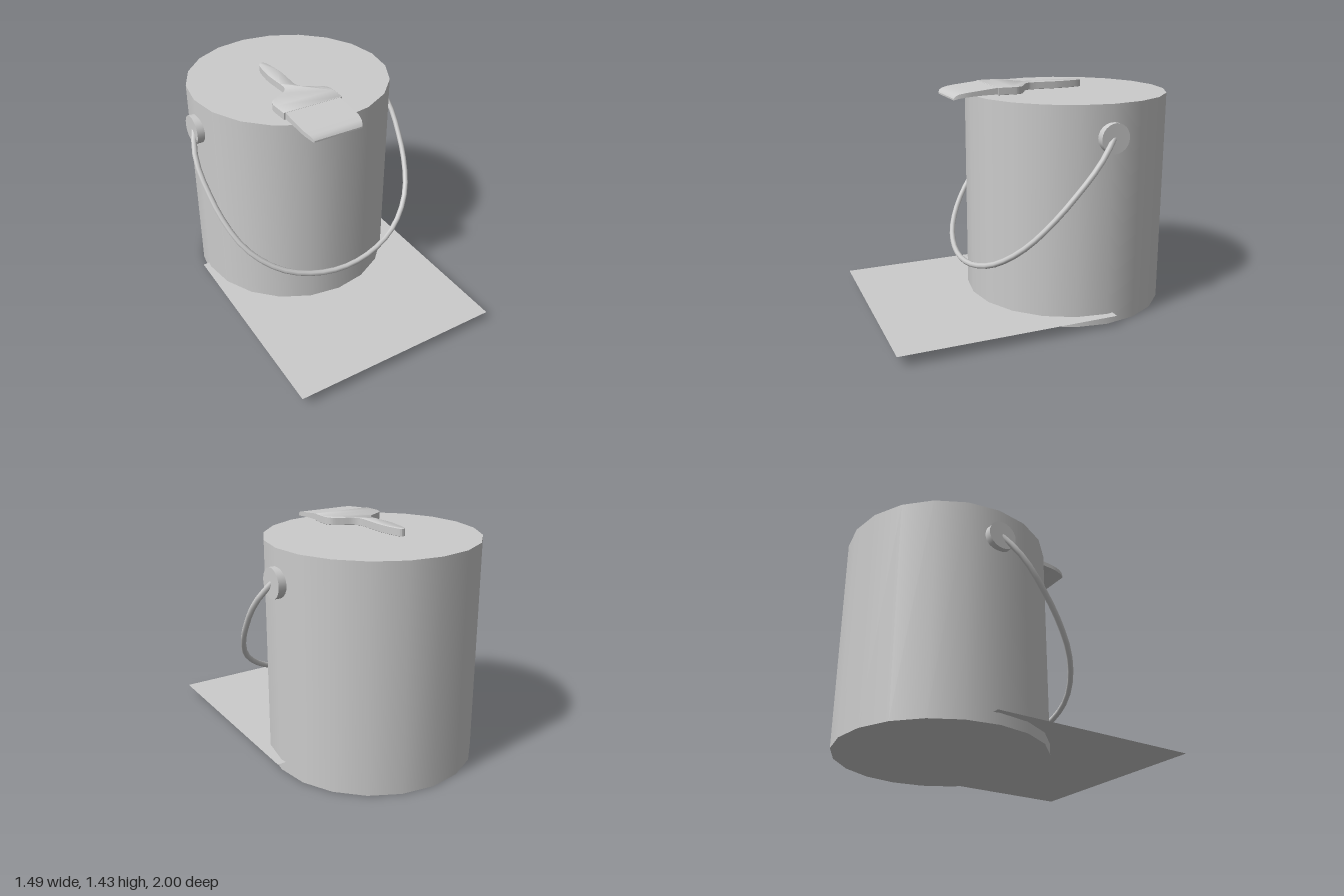
import * as THREE from 'three';
import { toCreasedNormals } from 'three/addons/utils/BufferGeometryUtils.js';

const CENTRE_X = 0.002, CAN_Z = -0.348, CAN_R = 0.652, CAN_H = 1.385, BRUSH_X = -0.105;

export function createModel() {
  const model = new THREE.Group();
  model.name = 'paintCan';
  const grey = new THREE.MeshStandardMaterial({ color: 0xcccccc });
  const greyThin = new THREE.MeshStandardMaterial({ color: 0xcccccc, side: THREE.DoubleSide });

  const add = (name, geometry, x = 0, y = 0, z = 0, parent = model, material = grey) => {
    const mesh = new THREE.Mesh(geometry, material);
    mesh.name = name;
    mesh.position.set(x, y, z);
    parent.add(mesh);
    return mesh;
  };

  // Closed can
  add('can', new THREE.CylinderGeometry(CAN_R, CAN_R, CAN_H, 20), CENTRE_X, CAN_H / 2, CAN_Z);

  // Flat sheet that cuts through the can just above its base
  const sheet = new THREE.PlaneGeometry(1.39, 1.39).rotateX(-Math.PI / 2);
  add('groundSheet', sheet, 0.008, 0.068, 0.305, model, greyThin);

  // Round lugs that hold the handle
  for (const side of [1, -1]) {
    const lug = new THREE.CylinderGeometry(0.092, 0.092, 0.065, 24).rotateZ(Math.PI / 2);
    add(side > 0 ? 'leftLug' : 'rightLug', lug, CENTRE_X + side * 0.654, 1.186, -0.347);
  }

  // Wire handle: half outline (x, y) mirrored, leaning forward in a straight plane
  const half = [
    [0.665, 1.2], [0.712, 1.1], [0.728, 1.0], [0.718, 0.88], [0.693, 0.75],
    [0.63, 0.6], [0.54, 0.495], [0.4, 0.402], [0.21, 0.34],
  ];
  const lean = (x, y) => new THREE.Vector3(x, y, -0.345 + (1.192 - y) * 0.835);
  const path = [
    ...half.map(([x, y]) => lean(x, y)),
    lean(0, 0.318),
    ...half.map(([x, y]) => lean(-x, y)).reverse(),
  ];
  const wire = new THREE.TubeGeometry(new THREE.CatmullRomCurve3(path), 36, 0.018, 8);
  add('wireHandle', wire, CENTRE_X);

  // Paint brush lying on the lid
  const brush = new THREE.Group();
  brush.name = 'paintBrush';
  brush.position.x = BRUSH_X;
  model.add(brush);

  // Grip and ferrule: half outline as (half width, z), tip to shoulders
  const grip = [
    [0.014, -0.502], [0.026, -0.47], [0.036, -0.41], [0.043, -0.33], [0.04, -0.24],
    [0.036, -0.16], [0.042, -0.115], [0.07, -0.08], [0.13, -0.045], [0.178, -0.015],
    [0.197, 0.02], [0.199, 0.06], [0.196, 0.149],
  ];
  const outline = new THREE.Shape();
  outline.moveTo(0, 0.508);
  outline.splineThru(grip.map(([w, z]) => new THREE.Vector2(w, -z)));
  outline.lineTo(-0.196, -0.149);
  outline.splineThru(grip.slice(0, -1).reverse().map(([w, z]) => new THREE.Vector2(-w, -z)));
  const body = new THREE.ExtrudeGeometry(outline, {
    depth: 0.044, curveSegments: 32, bevelSize: 0.003, bevelThickness: 0.002, bevelSegments: 1,
  }).rotateX(-Math.PI / 2);
  add('brushGrip', toCreasedNormals(body, 0.7), 0, 1.387, 0, brush);

  // Bristles: a box whose sections taper and droop over the rim [z, half width, bottom, top]
  const sections = [
    [0.13, 0.187, 1.389, 1.432], [0.24, 0.187, 1.388, 1.421], [0.32, 0.187, 1.384, 1.413],
    [0.36, 0.184, 1.38, 1.408], [0.4, 0.175, 1.374, 1.4], [0.42, 0.167, 1.368, 1.389],
    [0.43, 0.16, 1.364, 1.374],
  ];
  const last = sections.length - 1;
  const bristles = new THREE.BoxGeometry(2, 1, 1, 1, 1, last);
  const pos = bristles.attributes.position;
  for (let i = 0; i < pos.count; i++) {
    const [z, w, low, high] = sections[Math.round((pos.getZ(i) + 0.5) * last)];
    pos.setXYZ(i, pos.getX(i) * w, pos.getY(i) > 0 ? high : low, z);
  }
  bristles.computeVertexNormals();
  add('bristles', bristles, 0, 0, 0, brush);

  return model;
}
